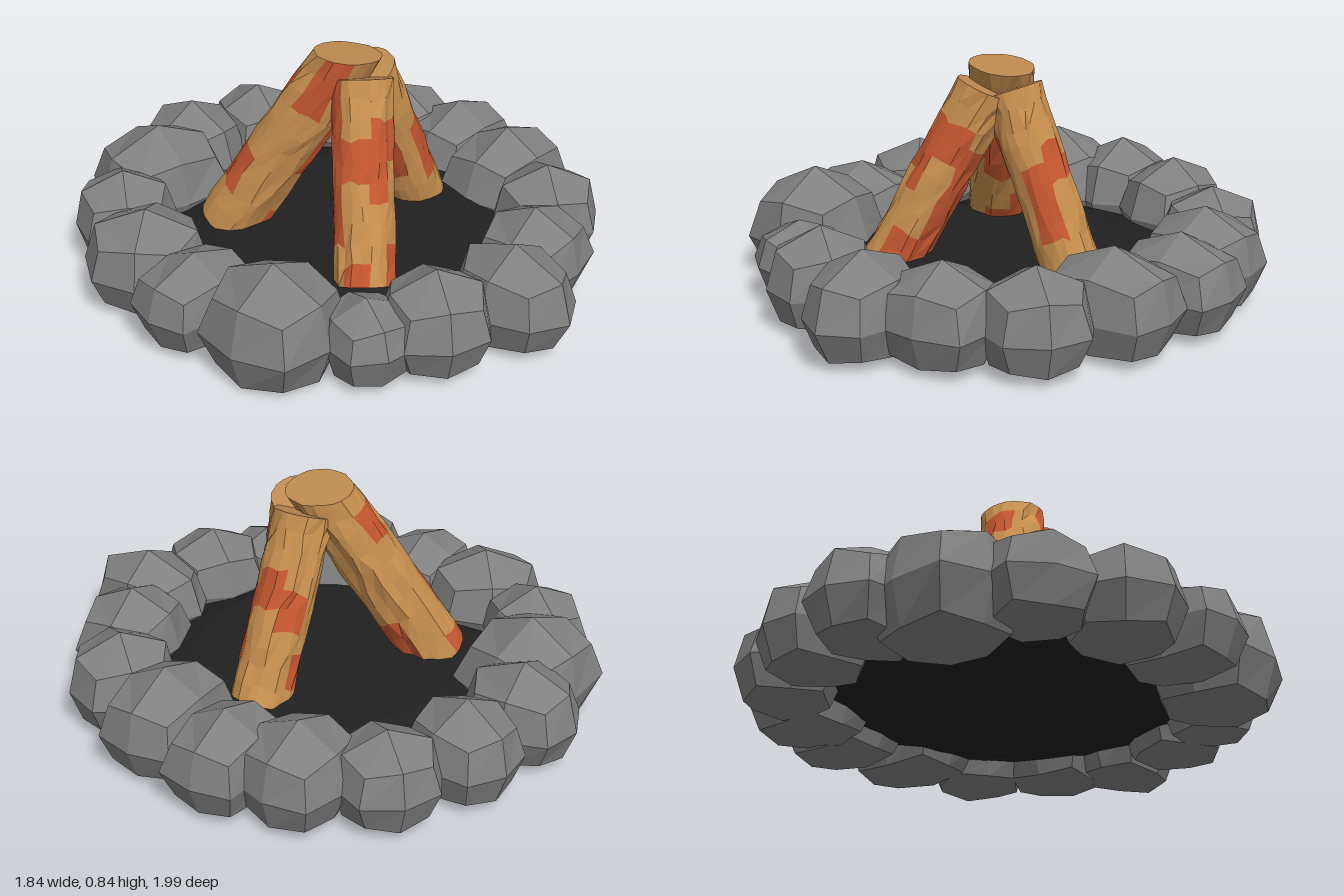
import * as THREE from 'three';

const mat = (color) => new THREE.MeshStandardMaterial({ color, flatShading: true, roughness: 1, side: THREE.DoubleSide });

// Repeatable noise in 0..1
function hash(a, b, c) {
  const s = Math.sin(a * 127.1 + b * 311.7 + c * 74.7) * 43758.5453;
  return s - Math.floor(s);
}

// x, z, x radius, z radius, yaw, corner fullness, top, bottom
const STONES = [
  [0, -0.79, 0.18, 0.21, 0, 0.74, 0.37, 0.03], [0.28, -0.71, 0.18, 0.2, -0.35, 0.77, 0.36, 0.03],
  [0.54, -0.55, 0.19, 0.19, -0.75, 0.74, 0.34, 0.03], [0.66, -0.29, 0.205, 0.185, -0.1, 0.82, 0.36, 0.03],
  [0.71, -0.04, 0.21, 0.165, -0.04, 0.85, 0.35, 0.03], [0.63, 0.25, 0.23, 0.175, -0.03, 0.86, 0.37, 0.03],
  [0.51, 0.52, 0.195, 0.195, -0.7, 0.75, 0.36, 0.03], [0.24, 0.66, 0.195, 0.185, 0.1, 0.83, 0.36, 0.03],
  [-0.01, 0.76, 0.18, 0.23, 0, 0.72, 0.37, 0.03], [-0.29, 0.65, 0.19, 0.19, -0.6, 0.78, 0.36, 0.03],
  [-0.5, 0.53, 0.15, 0.16, -0.4, 0.8, 0.3, 0.03], [-0.66, 0.27, 0.225, 0.235, 0.08, 0.77, 0.4, 0.01],
  [-0.71, -0.05, 0.21, 0.16, -0.04, 0.86, 0.33, 0.03], [-0.66, -0.34, 0.21, 0.22, 0.6, 0.75, 0.36, 0.03],
  [-0.52, -0.61, 0.185, 0.185, -0.65, 0.78, 0.35, 0.03], [-0.25, -0.71, 0.235, 0.215, -0.27, 0.84, 0.39, 0.0],
];

// Faceted block: widest at its middle, peaked on top, flattened underneath
function makeStone([x, z, rx, rz, yaw, full, top, bottom], i, material) {
  const geo = new THREE.BoxGeometry(2, 2, 2, 2, 2, 2);
  const p = geo.attributes.position;
  const v = new THREE.Vector3();
  const mid = 0.15;
  for (let k = 0; k < p.count; k++) {
    v.fromBufferAttribute(p, k).round();
    const corner = v.x !== 0 && v.z !== 0;
    const wobble = 0.97 + 0.06 * hash(v.x + 3 * v.y, v.z, i);
    const width = (corner ? full : 1) * (v.y === 0 ? 1 : v.y > 0 ? 0.82 : 0.78) * wobble;
    let y = mid;
    if (v.y < 0) y = bottom + (corner ? 0.015 : 0);
    else if (v.y > 0) y += (top - mid) * (corner ? 0.52 : v.x || v.z ? 0.65 : 1);
    p.setXYZ(k, v.x * rx * width, y, v.z * rz * width);
  }
  geo.computeVertexNormals();
  const stone = new THREE.Mesh(geo, material);
  stone.name = 'stone' + (i + 1);
  stone.position.set(x, 0, z);
  stone.rotation.y = yaw;
  return stone;
}

function meshFrom(name, positions, material) {
  const geo = new THREE.BufferGeometry();
  geo.setAttribute('position', new THREE.Float32BufferAttribute(positions, 3));
  geo.computeVertexNormals();
  const mesh = new THREE.Mesh(geo, material);
  mesh.name = name;
  return mesh;
}

// Leaning log: rough rings along an axis, split into bark, glowing patches and cut ends
function makeLog(name, base, top, radius, topNormal, seed, mats) {
  const COLS = 20, ROWS = 10;
  const a = new THREE.Vector3(...base), b = new THREE.Vector3(...top);
  const axis = b.clone().sub(a).normalize();
  const endNormal = new THREE.Vector3(...topNormal).normalize();
  const rings = [];
  for (let r = 0; r <= ROWS; r++) {
    const t = r / ROWS;
    const isEnd = r === 0 || r === ROWS;
    const center = a.clone().lerp(b, t);
    const n = axis.clone().lerp(endNormal, t ** 3).normalize();
    const q = new THREE.Quaternion().setFromUnitVectors(new THREE.Vector3(0, 1, 0), n);
    const ring = [];
    for (let c = 0; c < COLS; c++) {
      const ang = ((c + 0.5 * (hash(c, r, seed) - 0.5)) / COLS) * Math.PI * 2;
      const groove = !isEnd && hash(c, Math.floor(r / 3), seed + 5) < 0.25 ? 0.91 : 1;
      const rad = radius * groove * (0.98 + 0.07 * hash(c, r, seed + 9));
      const lift = isEnd ? 0 : (hash(r, c, seed) - 0.5) * 0.025;
      ring.push(new THREE.Vector3(Math.sin(ang) * rad, lift, Math.cos(ang) * rad).applyQuaternion(q).add(center));
    }
    rings.push(ring);
  }
  const parts = { bark: [], ember: [], cutEnd: [] };
  const tri = (list, ...pts) => pts.forEach((v) => list.push(v.x, v.y, v.z));
  for (let c = 0; c < COLS; c++) {
    const d = (c + 1) % COLS;
    const strip = Math.floor(c / 3);
    for (let r = 0; r < ROWS; r++) {
      const glowing = hash(strip, Math.floor((r + (strip % 2)) / 2), seed + 2) < 0.34;
      const list = glowing ? parts.ember : parts.bark;
      const [p, q, s, u] = [rings[r][c], rings[r][d], rings[r + 1][d], rings[r + 1][c]];
      tri(list, p, q, s, p, s, u);
    }
    tri(parts.cutEnd, a, rings[0][d], rings[0][c]);
    tri(parts.cutEnd, b, rings[ROWS][c], rings[ROWS][d]);
  }
  const log = new THREE.Group();
  log.name = name;
  for (const key in parts) log.add(meshFrom(key, parts[key], mats[key]));
  return log;
}

export function createModel() {
  const model = new THREE.Group();
  model.name = 'campfire';

  // Ash bed: flat dark mound that the logs stand in
  const ashProfile = [[0, 0.05], [0.45, 0.06], [0.66, 0.11], [0.48, 0.16], [0, 0.185]]
    .map(([r, y]) => new THREE.Vector2(r, y));
  const ash = new THREE.Mesh(new THREE.LatheGeometry(ashProfile, 16), mat(0x202020));
  ash.name = 'ashBed';
  model.add(ash);

  // Ring of stones
  const ring = new THREE.Group();
  ring.name = 'stoneRing';
  const stoneMat = mat(0x808080);
  STONES.forEach((s, i) => ring.add(makeStone(s, i, stoneMat)));
  model.add(ring);

  // Three logs leaning together; the rear one is tallest with a nearly level cut
  const mats = { bark: mat(0xc68e4e), ember: mat(0xc4562f), cutEnd: mat(0xbd8a50) };
  model.add(
    makeLog('rearLog', [-0.26, 0.135, -0.335], [0, 0.828, 0.01], 0.115, [0.13, 1, 0], 1, mats),
    makeLog('leftLog', [0.345, 0.135, 0.05], [0.06, 0.755, 0.035], 0.105, [-0.4, 1, 0], 2, mats),
    makeLog('frontLog', [-0.26, 0.135, 0.315], [-0.01, 0.76, 0.085], 0.105, [0.3, 1, -0.3], 3, mats),
  );
  return model;
}
